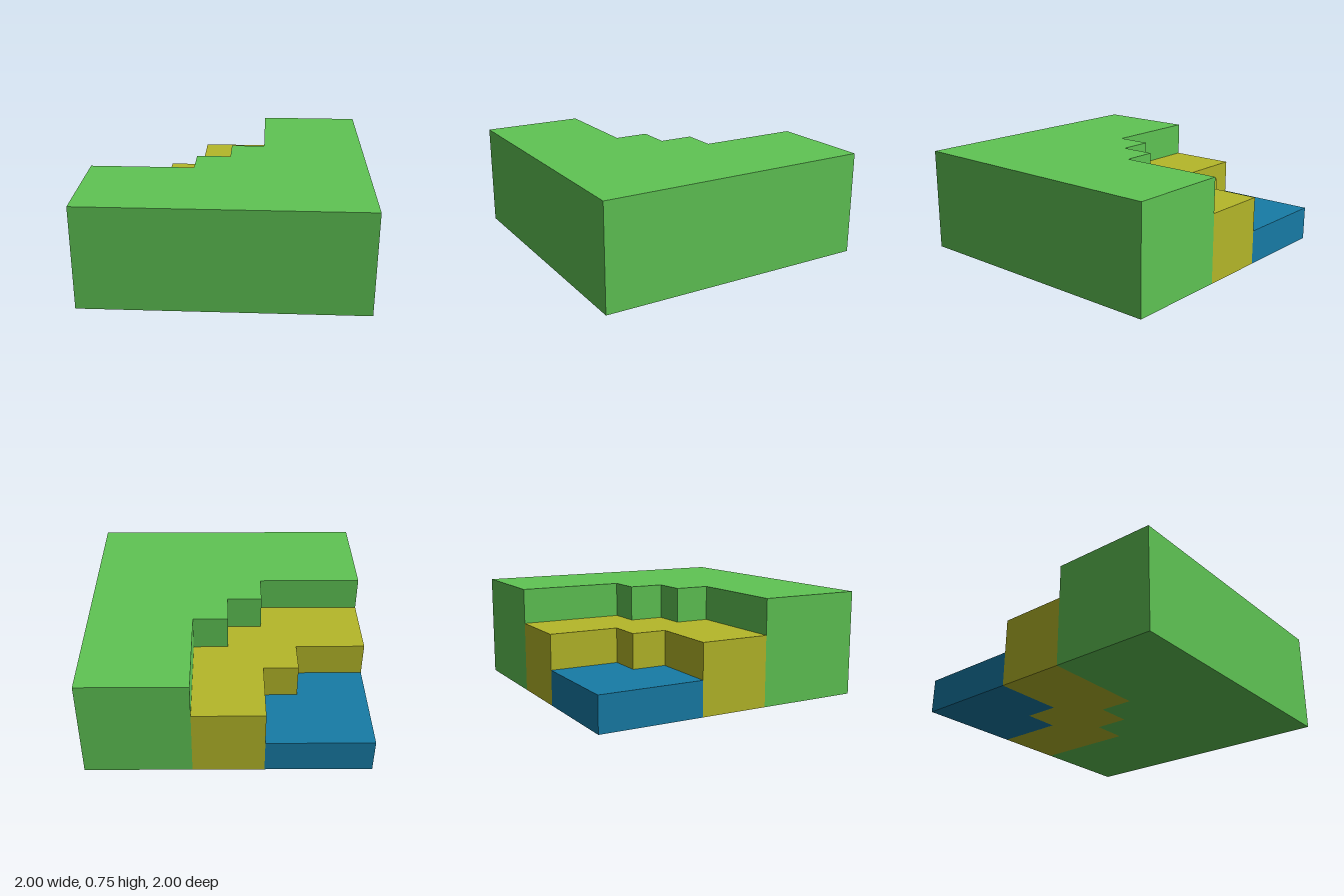
import * as THREE from 'three';

// Stepped borders between terrain levels, as [x, -z], from the back edge to the -x edge
const upperBorder = [[0.25, 1], [0.25, 0.25], [0, 0.25], [0, 0], [-0.25, 0], [-0.25, -0.25], [-1, -0.25]];
const lowerBorder = [[-0.25, 1], [-0.25, 0.5], [-0.5, 0.5], [-0.5, 0.25], [-1, 0.25]];

// Upright slab standing on y = 0 with the given outline
function slab(name, outline, height, material) {
  const shape = new THREE.Shape(outline.map(([x, y]) => new THREE.Vector2(x, y)));
  const geometry = new THREE.ExtrudeGeometry(shape, { depth: height, bevelEnabled: false });
  geometry.rotateX(-Math.PI / 2);
  const mesh = new THREE.Mesh(geometry, material);
  mesh.name = name;
  return mesh;
}

function makeMaterial(name, color) {
  const material = new THREE.MeshStandardMaterial({ color });
  material.name = name;
  return material;
}

export function createModel() {
  const grass = makeMaterial('grass green', 0x5fc454);
  const sand = makeMaterial('sand yellow', 0xb5b729);
  const water = makeMaterial('water blue', 0x177ca6);

  const model = new THREE.Group();
  model.name = 'shoreCornerTile';
  model.add(
    // High ground wrapping round the front and the +x side
    slab('grass', [[-1, -1], [1, -1], [1, 1], ...upperBorder], 0.75, grass),
    // Middle terrace between the two stepped borders
    slab('sand', [...upperBorder, ...[...lowerBorder].reverse()], 0.5, sand),
    // Low corner at the back
    slab('water', [...lowerBorder, [-1, 1]], 0.25, water),
  );
  return model;
}
